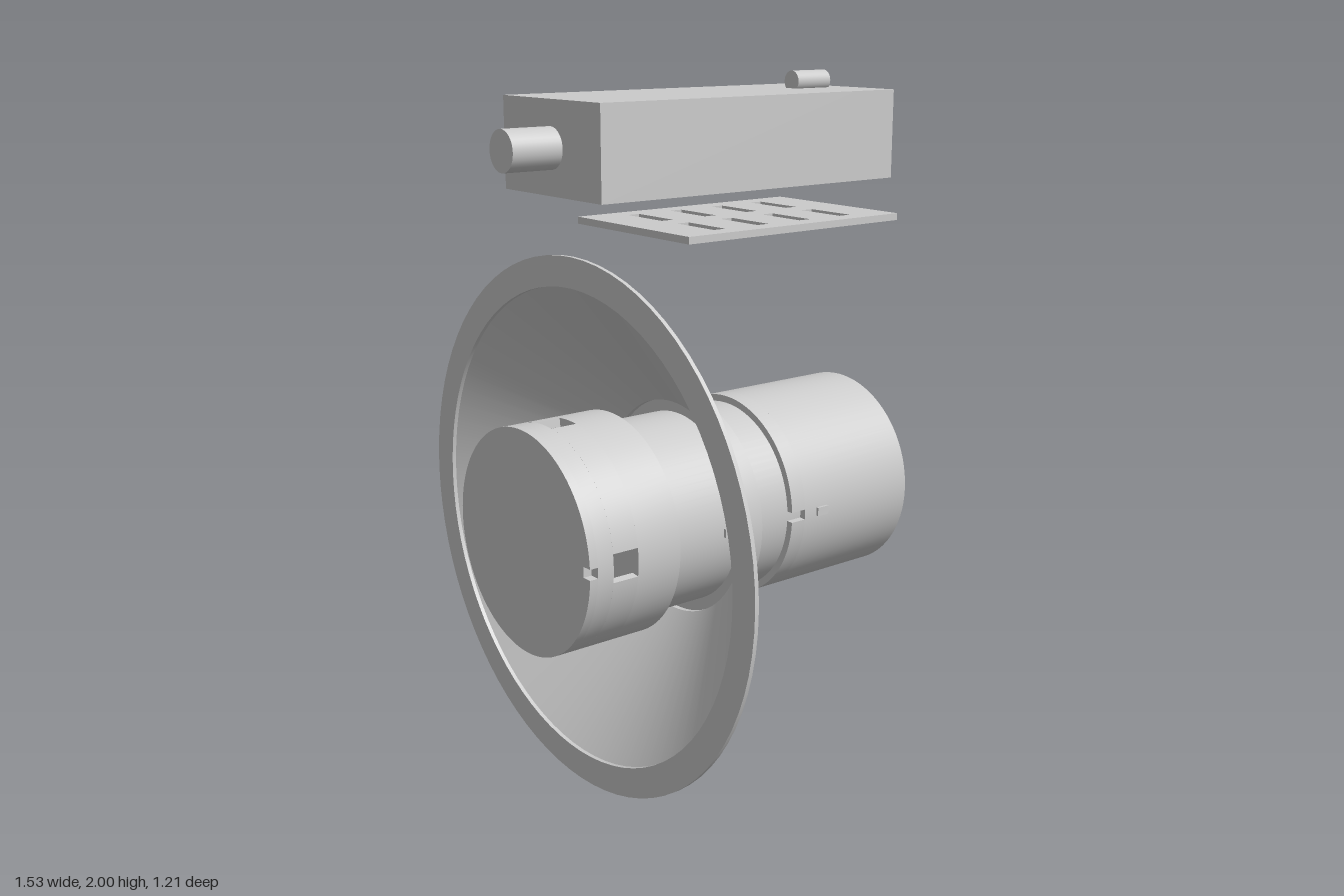
import * as THREE from 'three';
import { toCreasedNormals } from 'three/addons/utils/BufferGeometryUtils.js';

const AXIS_Y = 0.77; // height of the lamp axis, which runs along z
const material = new THREE.MeshStandardMaterial({ color: 0xcccccc });

function add(parent, name, geometry, x = 0, y = 0, z = 0) {
  const mesh = new THREE.Mesh(geometry, material);
  mesh.name = name;
  mesh.position.set(x, y, z);
  parent.add(mesh);
  return mesh;
}

// Turned part about z; profile is [radius, z], outer side running towards +z
function turned(profile) {
  const pts = profile.map(([r, z]) => new THREE.Vector2(r, z));
  const g = new THREE.LatheGeometry(pts, 80);
  g.rotateX(Math.PI / 2);
  return toCreasedNormals(g, 0.4);
}

// Rectangular tube section between two radii and two z positions
const ring = (r0, r1, z0, z1) => turned([[r0, z0], [r1, z0], [r1, z1], [r0, z1], [r0, z0]]);

// Flat shape given depth from z0 to z1
function slab(shape, z0, z1, curveSegments = 40) {
  const g = new THREE.ExtrudeGeometry(shape, { depth: z1 - z0, bevelEnabled: false, curveSegments });
  g.translate(0, 0, z0);
  return toCreasedNormals(g, 0.4);
}

// Ring cut by equally spaced gaps, the first one centred on +x
function gappedRing(parent, name, r0, r1, z0, z1, count, gapWidth) {
  const half = gapWidth / 2 / r1;
  const step = (Math.PI * 2) / count;
  for (let i = 0; i < count; i++) {
    const a = i * step + half, b = (i + 1) * step - half;
    const s = new THREE.Shape();
    s.absarc(0, 0, r1, a, b, false);
    s.absarc(0, 0, r0, b, a, true);
    add(parent, name, slab(s, z0, z1, Math.round(80 / count)));
  }
}

function rect(w, h) {
  return new THREE.Shape([[-w, -h], [w, -h], [w, h], [-w, h]].map(([x, y]) => new THREE.Vector2(x / 2, y / 2)));
}

function circleHole(shape, x, y, r) {
  const p = new THREE.Path();
  p.absarc(x, y, r, 0, Math.PI * 2, true);
  shape.holes.push(p);
}

function rod(r, length) {
  return new THREE.CylinderGeometry(r, r, length, 32).rotateX(Math.PI / 2);
}

function buildLamp() {
  const lamp = new THREE.Group();
  lamp.name = 'lamp';
  lamp.position.y = AXIS_Y;

  // Conical reflector with an inward lip at its mouth
  add(lamp, 'reflector', turned([
    [0.315, 0.045], [0.32, 0.045], [0.765, 0.388], [0.765, 0.4], [0.68, 0.4],
    [0.68, 0.388], [0.74, 0.388], [0.315, 0.06], [0.315, 0.045],
  ]));
  add(lamp, 'collar', ring(0.27, 0.32, -0.01, 0.045));

  // Neck running through the reflector
  add(lamp, 'neck', turned([[0, -0.3], [0.28, -0.3], [0.28, 0.285], [0, 0.285]]));
  for (const s of [1, -1]) {
    add(lamp, 'neckLug', new THREE.BoxGeometry(0.02, 0.025, 0.03), s * 0.278, 0, 0.08);
  }

  // Hollow front cap with four square windows
  const cap = new THREE.Group();
  cap.name = 'frontCap';
  lamp.add(cap);
  add(cap, 'capRearBand', ring(0.27, 0.32, 0.28, 0.42));
  gappedRing(cap, 'capWindowBand', 0.295, 0.32, 0.42, 0.5, 4, 0.08);
  add(cap, 'capFrontBand', ring(0.295, 0.32, 0.5, 0.55));
  const face = new THREE.Shape();
  face.absarc(0, 0, 0.32, 0.047, Math.PI * 2 - 0.047, false);
  face.lineTo(0.29, -0.015);
  face.lineTo(0.29, 0.015);
  add(cap, 'capFace', slab(face, 0.55, 0.575, 80));

  // Rear housing with bayonet notches and small lugs
  const rear = new THREE.Group();
  rear.name = 'rearHousing';
  lamp.add(rear);
  gappedRing(rear, 'notchedBand', 0.275, 0.3, -0.19, -0.14, 2, 0.03);
  add(rear, 'housingWall', ring(0.275, 0.3, -0.6, -0.19));
  for (const s of [1, -1]) {
    add(rear, 'housingLug', new THREE.BoxGeometry(0.02, 0.025, 0.04), s * 0.297, 0, -0.255);
  }

  // Recessed socket with three pin holes, and ribs in the surrounding gap
  add(rear, 'gapFloor', ring(0.2, 0.28, -0.5, -0.3));
  add(rear, 'socketCore', turned([[0, -0.54], [0.225, -0.54], [0.225, -0.3], [0, -0.3]]));
  const disc = new THREE.Shape();
  disc.absarc(0, 0, 0.225, 0, Math.PI * 2, false);
  for (const [x, y] of [[0.05, 0], [-0.05, 0.06], [-0.05, -0.06]]) circleHole(disc, x, y, 0.017);
  add(rear, 'socketDisc', slab(disc, -0.58, -0.54));
  for (let i = 0; i < 7; i++) {
    const a = Math.PI + (i - 3) * 0.16;
    const rib = add(rear, 'socketRib', new THREE.BoxGeometry(0.05, 0.015, 0.06),
      Math.cos(a) * 0.25, Math.sin(a) * 0.25, -0.52);
    rib.rotation.z = a;
  }
  return lamp;
}

function buildDriver() {
  const driver = new THREE.Group();
  driver.name = 'driver';

  // Case with a round cable hole in its back
  add(driver, 'caseBody', new THREE.BoxGeometry(0.45, 0.25, 0.875), 0, 1.825, 0.0175);
  const back = rect(0.45, 0.25);
  circleHole(back, 0, 0, 0.043);
  add(driver, 'caseBack', slab(back, -0.57, -0.42), 0, 1.825, 0);

  add(driver, 'frontPlug', rod(0.056, 0.16), 0, 1.825, 0.525);
  add(driver, 'topPin', rod(0.03, 0.125), 0, 1.97, -0.4425);
  return driver;
}

// Mounting plate with two columns of four slots
function buildPlate() {
  const shape = rect(0.51, 0.77);
  for (const x of [-0.115, 0.115]) {
    for (let row = 0; row < 4; row++) {
      const y = (row - 1.5) * 0.155;
      const corners = [[-1, -1], [-1, 1], [1, 1], [1, -1]];
      shape.holes.push(new THREE.Path(corners.map(([u, v]) => new THREE.Vector2(x + u * 0.08, y + v * 0.02))));
    }
  }
  return slab(shape, -0.01, 0.01).rotateX(Math.PI / 2);
}

export function createModel() {
  const model = new THREE.Group();
  model.name = 'downlight';
  model.add(buildLamp(), buildDriver());
  add(model, 'mountingPlate', buildPlate(), 0, 1.59, -0.185);
  return model;
}
